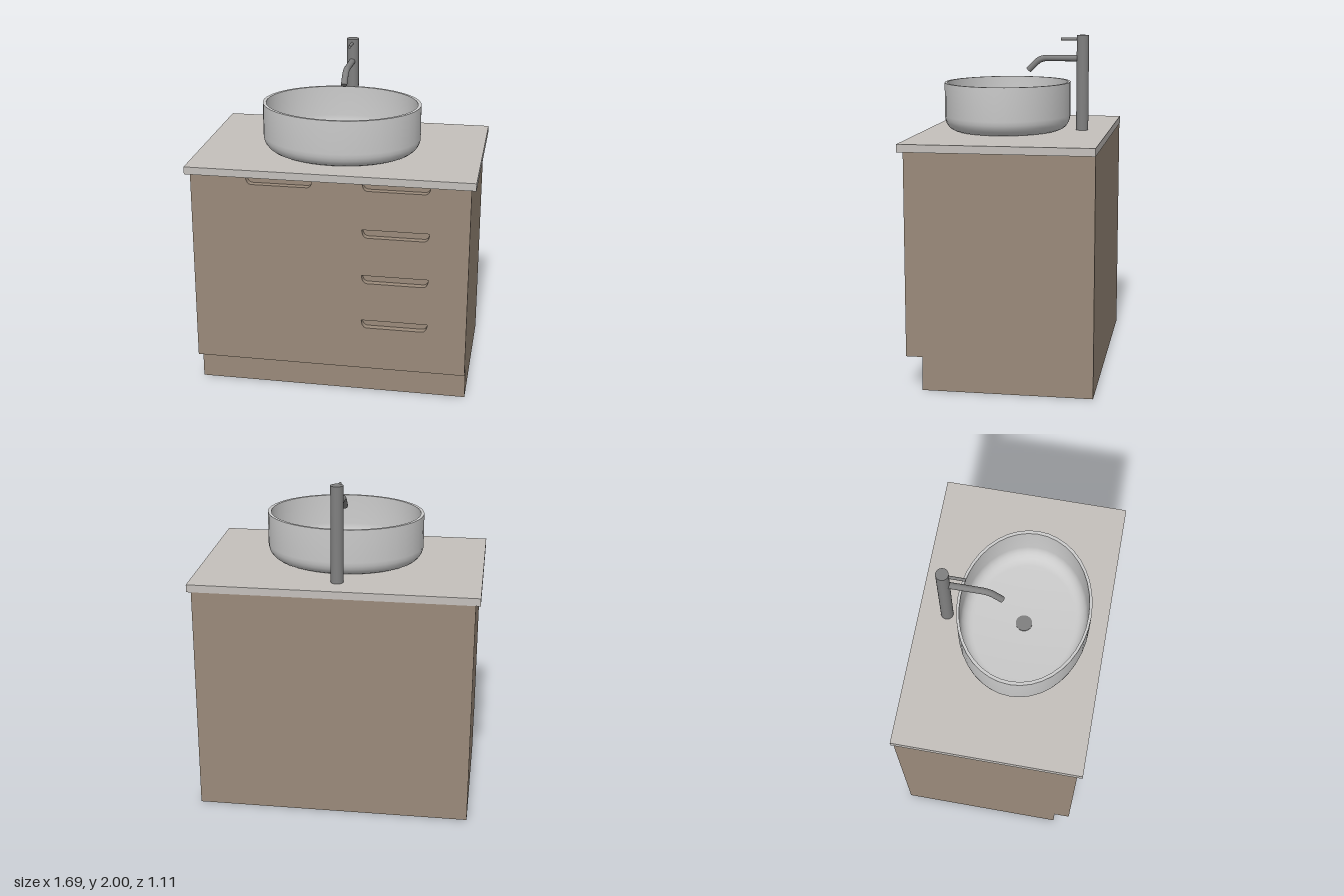
import * as THREE from 'three';
import { toCreasedNormals } from 'three/addons/utils/BufferGeometryUtils.js';

const material = (color) => new THREE.MeshStandardMaterial({ color });

export function createModel() {
  const model = new THREE.Group();
  const wood = material(0x9a8a7a);
  const stone = material(0xc4c0bc);
  const ceramic = material(0xcccccc);
  const metal = material(0x808080);

  const add = (name, geometry, mat, x = 0, y = 0, z = 0) => {
    const mesh = new THREE.Mesh(geometry, mat);
    mesh.name = name;
    mesh.position.set(x, y, z);
    model.add(mesh);
    return mesh;
  };
  // Box given by its lower and upper corners
  const addBox = (name, mat, [x0, y0, z0], [x1, y1, z1]) =>
    add(name, new THREE.BoxGeometry(x1 - x0, y1 - y0, z1 - z0), mat,
      (x0 + x1) / 2, (y0 + y1) / 2, (z0 + z1) / 2);

  // Cabinet: recessed plinth, carcass and countertop
  const W = 0.818, back = -0.553, plateBack = 0.485, front = 0.525;
  addBox('plinth', wood, [-W, 0, back], [W, 0.197, 0.43]);
  addBox('carcass', wood, [-W, 0.197, back], [W, 1.38, plateBack]);
  addBox('countertop', stone, [-0.845, 1.38, -0.555], [0.845, 1.425, 0.555]);

  // Finger pull outline: flat top, rounded lower corners
  const pullDepth = 0.05, r = 0.035;
  const tracePull = (path, x0, x1, top) => {
    const bottom = top - pullDepth;
    path.lineTo(x0, top);
    path.quadraticCurveTo(x0 + 0.003, bottom, x0 + r, bottom);
    path.lineTo(x1 - r, bottom);
    path.quadraticCurveTo(x1 - 0.003, bottom, x1, top);
  };

  // Front panel: two notches in the top edge and three slots below
  const panel = new THREE.Shape();
  panel.moveTo(-W, 0.197);
  panel.lineTo(-W, 1.38);
  tracePull(panel, -0.487, -0.095, 1.38);
  tracePull(panel, 0.195, 0.588, 1.38);
  panel.lineTo(W, 1.38);
  panel.lineTo(W, 0.197);
  panel.closePath();
  for (const top of [1.092, 0.804, 0.515]) {
    const slot = new THREE.Path();
    slot.moveTo(0.195, top);
    tracePull(slot, 0.195, 0.588, top);
    slot.closePath();
    panel.holes.push(slot);
  }
  add('frontPanel', new THREE.ExtrudeGeometry(panel,
    { depth: front - plateBack, bevelEnabled: false, curveSegments: 8 }), wood, 0, 0, plateBack);

  // Oval basin: outer wall, flat rim, inner wall and floor in one profile
  const profile = [new THREE.Vector2(0, 0)];
  const fillet = (cx, cy, rad, from, to) => {
    for (let i = 0; i <= 6; i++) {
      const a = from + (to - from) * i / 6;
      profile.push(new THREE.Vector2(cx + rad * Math.cos(a), cy + rad * Math.sin(a)));
    }
  };
  fillet(0.385, 0.09, 0.09, -Math.PI / 2, 0);
  profile.push(new THREE.Vector2(0.475, 0.29), new THREE.Vector2(0.455, 0.29));
  fillet(0.37, 0.105, 0.085, 0, -Math.PI / 2);
  profile.push(new THREE.Vector2(0, 0.02));
  const basin = new THREE.LatheGeometry(profile, 40);
  basin.scale(1, 1, 0.806);
  add('basin', toCreasedNormals(basin, 0.7), ceramic, 0, 1.425, 0.07);
  add('drain', new THREE.CylinderGeometry(0.048, 0.048, 0.006, 32), metal, 0, 1.448, 0.07);

  // Tap: column, cap with lever, and bent spout
  const tapX = -0.01, tapZ = -0.388;
  add('tapColumn', new THREE.CylinderGeometry(0.037, 0.037, 0.485, 32), metal, tapX, 1.6675, tapZ);
  add('tapCap', new THREE.CylinderGeometry(0.037, 0.037, 0.09, 32), metal, tapX, 1.955, tapZ);
  const lever = add('tapLever', new THREE.CylinderGeometry(0.009, 0.009, 0.125, 16), metal,
    tapX, 1.975, -0.318);
  lever.rotation.x = Math.PI / 2;

  const v = (y, z) => new THREE.Vector3(tapX, y, z);
  const spoutPath = new THREE.CurvePath();
  spoutPath.add(new THREE.LineCurve3(v(1.86, -0.38), v(1.86, -0.17)));
  spoutPath.add(new THREE.QuadraticBezierCurve3(v(1.86, -0.17), v(1.86, -0.13), v(1.832, -0.102)));
  spoutPath.add(new THREE.LineCurve3(v(1.832, -0.102), v(1.786, -0.056)));
  add('tapSpout', new THREE.TubeGeometry(spoutPath, 40, 0.019, 20), metal);
  const tip = add('spoutTip', new THREE.CircleGeometry(0.019, 20), metal, tapX, 1.786, -0.056);
  tip.rotation.x = Math.PI / 4;

  return model;
}
